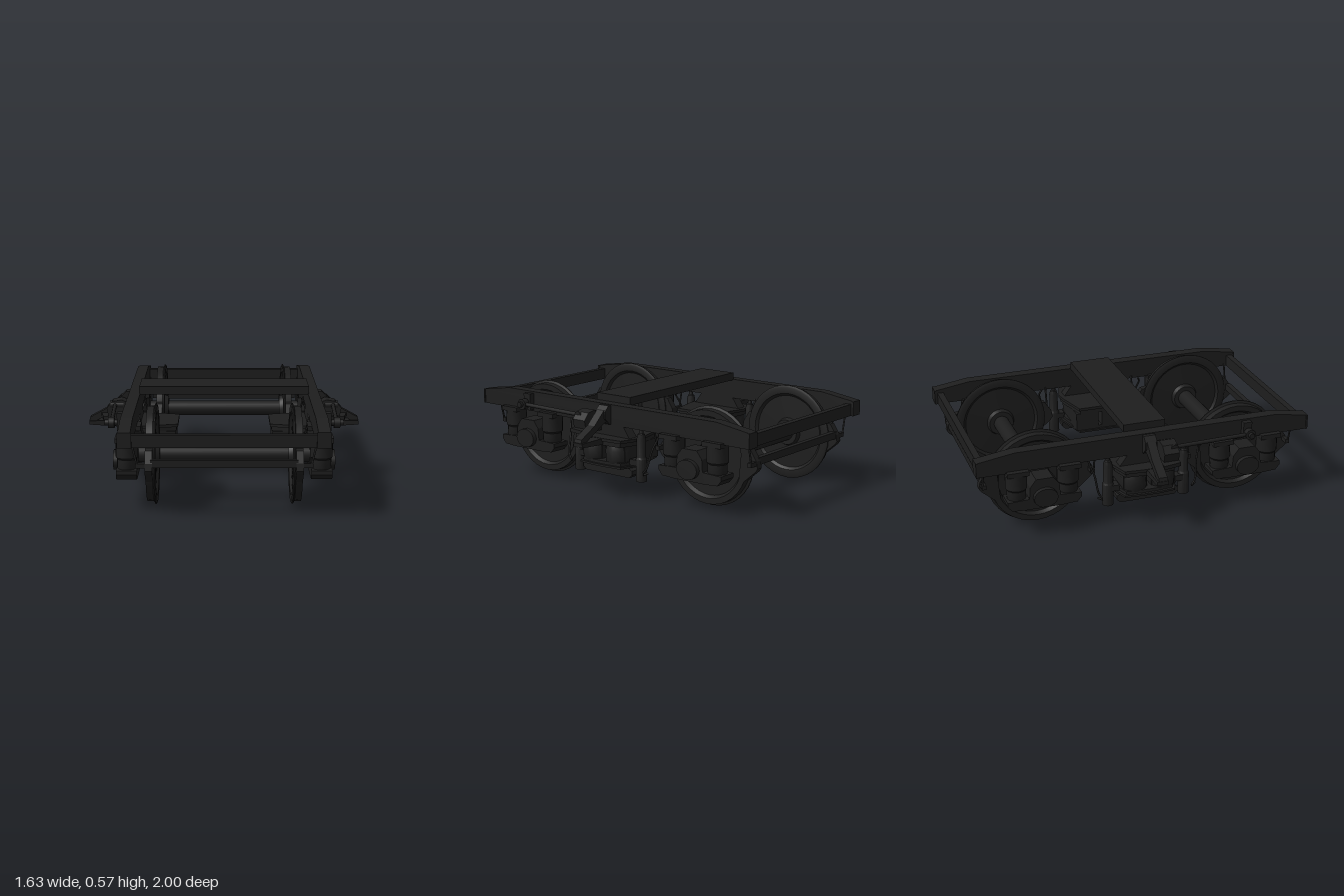
import * as THREE from 'three';
import { toCreasedNormals } from 'three/addons/utils/BufferGeometryUtils.js';

export function createModel() {
  const root = new THREE.Group();
  root.name = 'railBogie';
  const black = new THREE.MeshStandardMaterial({ color: 0x1e1e1e });
  black.name = 'blackPaint';

  const add = (name, geo) => {
    const m = new THREE.Mesh(geo, black);
    m.name = name;
    root.add(m);
    return m;
  };
  // Box given by its limits on each axis
  const box = (name, x0, x1, y0, y1, z0, z1) =>
    add(name, new THREE.BoxGeometry(Math.abs(x1 - x0), y1 - y0, Math.abs(z1 - z0))
      .translate((x0 + x1) / 2, (y0 + y1) / 2, (z0 + z1) / 2));
  const extrude = (pts, depth) => new THREE.ExtrudeGeometry(
    new THREE.Shape(pts.map(p => new THREE.Vector2(...p))), { depth, bevelEnabled: false });
  // Side profile of [z, y] points, extruded across x
  const side = (name, pts, xa, xb) =>
    add(name, extrude(pts, Math.abs(xb - xa)).rotateY(-Math.PI / 2).translate(Math.max(xa, xb), 0, 0));
  // Plan of [x, z] points, extruded up y
  const plan = (name, pts, y0, y1) =>
    add(name, extrude(pts, y1 - y0).rotateX(Math.PI / 2).translate(0, y1, 0));
  // Front profile of [x, y] points, extruded along z
  const front = (name, pts, z0, z1) => add(name, extrude(pts, z1 - z0).translate(0, 0, z0));
  const lathe = (pts, n) => toCreasedNormals(
    new THREE.LatheGeometry(pts.map(p => new THREE.Vector2(...p)), n), 0.6);
  // Round bar between two points
  const rod = (name, a, b, r, n = 12) => {
    const va = new THREE.Vector3(...a), vb = new THREE.Vector3(...b), d = vb.clone().sub(va);
    const m = add(name, new THREE.CylinderGeometry(r, r, d.length(), n));
    m.position.copy(va).add(vb).multiplyScalar(0.5);
    m.quaternion.setFromUnitVectors(new THREE.Vector3(0, 1, 0), d.normalize());
    return m;
  };

  // Parts spanning both sides
  box('bolster', -0.505, 0.505, 0.53, 0.577, -0.125, 0.125);
  for (const e of [1, -1]) {
    box('endBeam', -0.5, 0.5, 0.415, 0.485, e * 0.945, e * 0.982);
    const az = e > 0 ? 0.605 : -0.62;
    rod('axle', [-0.56, 0.289, az], [0.56, 0.289, az], 0.048, 20);
    box('brakeBar', -0.4, 0.4, 0.29, 0.332, az + e * 0.295, az + e * 0.327);
  }

  for (const s of [1, -1]) {
    // Side frame with tapered ends
    side('sideFrame', [[-1, 0.415], [1, 0.415], [1, 0.502], [0.78, 0.535], [-0.78, 0.535], [-1, 0.502]],
      s * 0.5, s * 0.568);
    for (const e of [1, -1]) box('frameEndCap', s * 0.495, s * 0.573, 0.415, 0.502, e * 0.99, e);

    for (const e of [1, -1]) {
      const az = e > 0 ? 0.605 : -0.62;

      // Wheel with inner flange and slightly dished disc
      const wheel = add('wheel', lathe([[0, 0.36], [0.075, 0.36], [0.085, 0.385], [0.22, 0.39], [0.235, 0.376],
        [0.27, 0.374], [0.284, 0.38], [0.284, 0.386], [0.27, 0.392], [0.268, 0.43], [0.235, 0.43],
        [0.22, 0.41], [0.085, 0.408], [0.075, 0.435], [0, 0.435]], 36));
      wheel.rotation.z = -s * Math.PI / 2;
      wheel.position.set(0, 0.289, az);

      // Brake shoes at both ends of the wheel
      for (const f of [1, -1]) {
        side('brakeShoe', [[0.215, 0.2], [0.25, 0.19], [0.325, 0.255], [0.338, 0.275], [0.33, 0.315],
          [0.29, 0.375], [0.25, 0.38], [0.23, 0.36]].map(([z, y]) => [az + f * z, y]), s * 0.39, s * 0.43);
        rod('brakeHanger', [s * 0.47, 0.3, az + f * 0.325], [s * 0.5, 0.43, az + f * 0.325], 0.006, 6);
        box('brakePin', s * 0.4, s * 0.48, 0.29, 0.315, az + f * 0.305, az + f * 0.33);
      }

      // Axlebox housing with spring seats
      side('axlebox', [[-0.215, 0.22], [-0.19, 0.19], [-0.11, 0.185], [0.11, 0.185], [0.19, 0.19],
        [0.215, 0.22], [0.215, 0.245], [0.09, 0.25], [0.085, 0.32], [0.05, 0.365], [-0.05, 0.365],
        [-0.085, 0.32], [-0.09, 0.25], [-0.215, 0.245]].map(([z, y]) => [az + z, y]), s * 0.48, s * 0.595);
      const cap = rod('axleboxCover', [s * 0.59, 0.255, az], [s * 0.622, 0.255, az], 0.07, 16);
      cap.scale.set(0.8, 1, 1);

      // Primary springs
      for (const f of [1, -1]) {
        const sp = add('primarySpring', lathe([[0, 0.235], [0.05, 0.235], [0.055, 0.25], [0.055, 0.3],
          [0.062, 0.31], [0.062, 0.4], [0.05, 0.415], [0, 0.415]], 16));
        sp.position.set(s * 0.537, 0, az + f * 0.15);
        box('springBracket', s * 0.475, s * 0.6, 0.398, 0.425, az + f * 0.15 - 0.062, az + f * 0.15 + 0.062);
      }

      // Damper beside the secondary suspension
      const dmp = add('damper', lathe([[0, 0.11], [0.033, 0.11], [0.033, 0.24], [0.027, 0.25], [0.027, 0.36],
        [0.02, 0.385], [0.013, 0.39], [0.013, 0.43], [0, 0.43]], 14));
      dmp.position.set(s * 0.535, 0, e * 0.232);
      box('damperSeat', s * 0.505, s * 0.565, 0.2, 0.235, e * 0.17, e * 0.225);

      // Safety wire
      add('safetyWire', new THREE.TubeGeometry(new THREE.CatmullRomCurve3([
        [0.49, 0.42, 0.32], [0.5, 0.39, 0.335], [0.535, 0.3, 0.31], [0.565, 0.2, 0.295],
        [0.57, 0.16, 0.27], [0.555, 0.17, 0.3]].map(([x, y, z]) => new THREE.Vector3(s * x, y, e * z))),
      20, 0.006, 6));
    }

    // Secondary suspension pan: flanges, springs and lower beam
    const pan = k => [[0.275, -0.14], [0.46, -0.19], [0.53, -0.2], [0.64, -0.165], [0.65, -0.05],
      [0.65, 0.05], [0.64, 0.145], [0.53, 0.19], [0.46, 0.185], [0.275, 0.14]]
      .map(([x, z]) => [s * ((x - 0.46) * k + 0.46), z * k]);
    plan('panTop', pan(1), 0.335, 0.352);
    plan('panBody', pan(0.95), 0.31, 0.335);
    plan('panBottom', pan(0.98), 0.185, 0.197);
    plan('panBase', pan(0.9), 0.197, 0.215);
    for (const e of [1, -1]) {
      box('panBlock', s * 0.29, s * 0.59, 0.197, 0.31, e * 0.012, e * 0.155);
      const air = add('secondarySpring', lathe([[0, 0.2], [0.065, 0.2], [0.075, 0.22], [0.075, 0.28],
        [0.065, 0.31], [0, 0.31]], 18));
      air.position.set(s * 0.56, 0, e * 0.085);
    }
    side('lowerBeam', [[-0.185, 0.14], [-0.165, 0.122], [0.165, 0.122], [0.185, 0.14], [0.185, 0.165],
      [0.15, 0.187], [-0.15, 0.187], [-0.185, 0.165]], s * 0.5, s * 0.565);
    side('panBridge', [[-0.17, 0.35], [0.17, 0.35], [0.12, 0.42], [-0.12, 0.42]], s * 0.5, s * 0.565);

    // Outrigger: foot, strut and bracket
    const sx = pts => pts.map(([x, y]) => [s * x, y]);
    front('outriggerFoot', sx([[0.5, 0.31], [0.62, 0.312], [0.815, 0.325], [0.815, 0.348], [0.5, 0.352]]),
      -0.035, 0.033);
    front('outriggerStrut', sx([[0.56, 0.45], [0.62, 0.43], [0.77, 0.35], [0.815, 0.35], [0.81, 0.37],
      [0.7, 0.43], [0.62, 0.505], [0.56, 0.525]]), -0.026, 0.026);
    front('outriggerHead', sx([[0.5, 0.42], [0.58, 0.42], [0.62, 0.46], [0.62, 0.5], [0.59, 0.53], [0.5, 0.53]]),
      -0.035, 0.035);
    front('rodBracket', sx([[0.565, 0.4], [0.69, 0.4], [0.7, 0.45], [0.665, 0.49], [0.61, 0.5], [0.565, 0.48]]),
      0.05, 0.14);
    plan('bracketPlate', sx([[0.57, 0.035], [0.74, 0.035], [0.72, 0.14], [0.6, 0.15]]), 0.378, 0.4);

    // Traction rod to the frame
    rod('tractionRod', [s * 0.65, 0.467, 0.13], [s * 0.632, 0.467, 0.6], 0.012, 10);
    rod('rodPin', [s * 0.56, 0.467, 0.6], [s * 0.67, 0.467, 0.6], 0.017, 10);
    rod('rodEye', [s * 0.615, 0.467, 0.6], [s * 0.65, 0.467, 0.6], 0.032, 12);
    box('rodMount', s * 0.565, s * 0.6, 0.425, 0.525, 0.575, 0.628);
    rod('rodBush', [s * 0.6, 0.467, 0.12], [s * 0.68, 0.467, 0.12], 0.025, 12);
  }
  return root;
}
